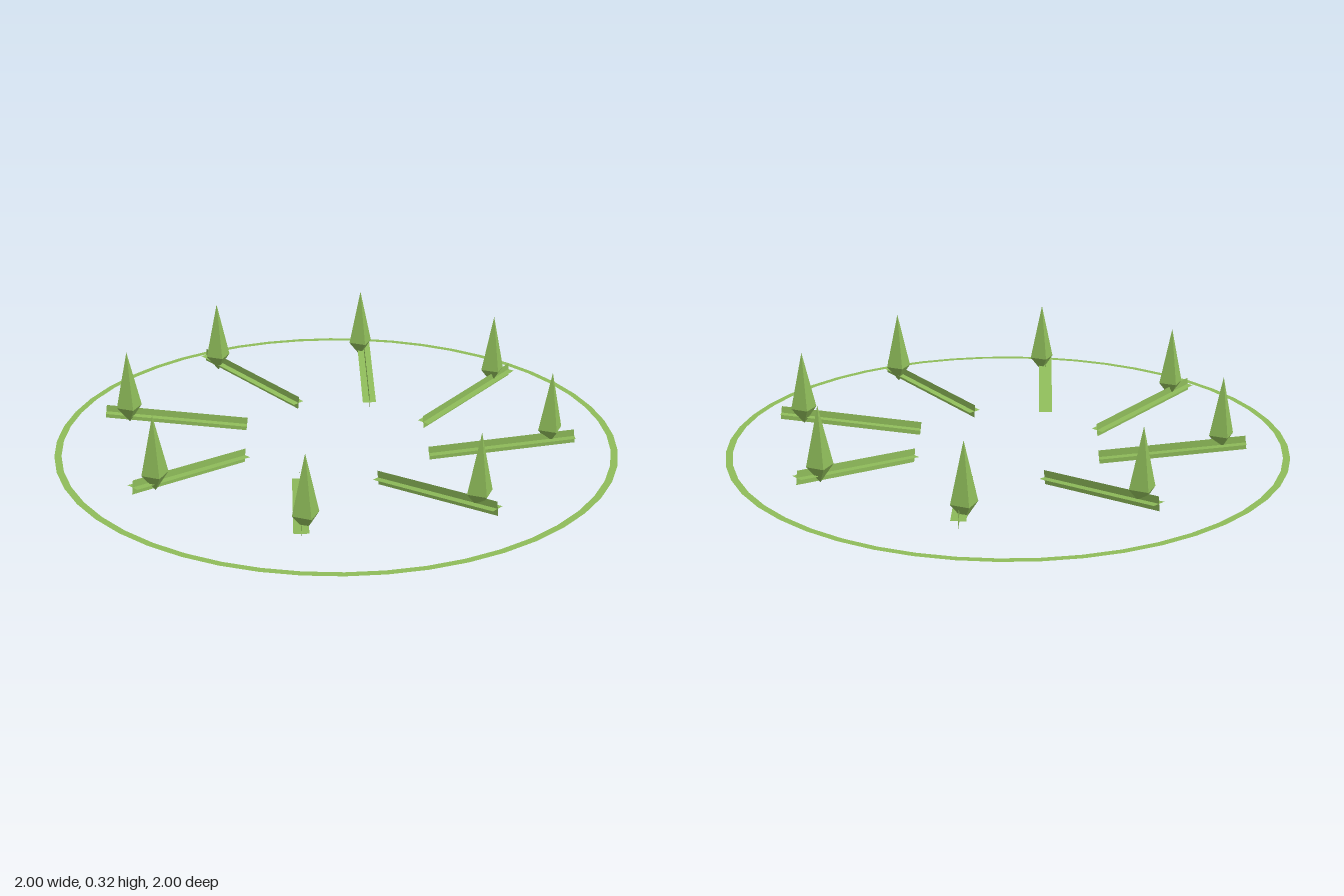
import * as THREE from 'three';

export function createModel() {
  const model = new THREE.Group();
  const green = new THREE.MeshStandardMaterial({ color: 0x8fbc5a, flatShading: true, side: THREE.DoubleSide });
  const solidGreen = new THREE.MeshStandardMaterial({ color: 0x8fbc5a, flatShading: true });

  const add = (parent, name, geometry, material) => {
    const mesh = new THREE.Mesh(geometry, material);
    mesh.name = name;
    parent.add(mesh);
    return mesh;
  };

  // Thin flat outer ring
  const ringGeometry = new THREE.RingGeometry(0.975, 1, 48).rotateX(-Math.PI / 2);
  add(model, 'outerRing', ringGeometry, green).position.y = 0.027;

  // Each stem is two crossed strips running along z
  const start = new THREE.Vector3(0, 0.026, 0.35);
  const end = new THREE.Vector3(0.2, 0.085, 0.82);
  const length = start.distanceTo(end);
  const flatStrip = new THREE.PlaneGeometry(0.05, length).rotateX(-Math.PI / 2);
  const uprightStrip = flatStrip.clone().rotateZ(Math.PI / 2);

  // Four-sided bud: short point below, long point above
  const budProfile = [[0, 0.05], [0.047, 0.11], [0, 0.32]].map(([r, y]) => new THREE.Vector2(r, y));
  const budGeometry = new THREE.LatheGeometry(budProfile, 4);
  const budRadius = 0.757;
  const budAngle = Math.atan2(0.18, 0.735);

  const up = new THREE.Vector3(0, 1, 0);
  for (let i = 0; i < 8; i++) {
    const turn = (i * Math.PI) / 4;
    const a = start.clone().applyAxisAngle(up, turn);
    const b = end.clone().applyAxisAngle(up, turn);

    const stem = new THREE.Group();
    stem.name = `stem${i + 1}`;
    stem.position.copy(a).lerp(b, 0.5);
    stem.lookAt(b);
    add(stem, 'flatStrip', flatStrip, green);
    add(stem, 'uprightStrip', uprightStrip, green);
    model.add(stem);

    // Buds all keep the same orientation
    const bud = add(model, `bud${i + 1}`, budGeometry, solidGreen);
    bud.position.set(budRadius * Math.sin(turn + budAngle), 0, budRadius * Math.cos(turn + budAngle));
  }
  return model;
}
